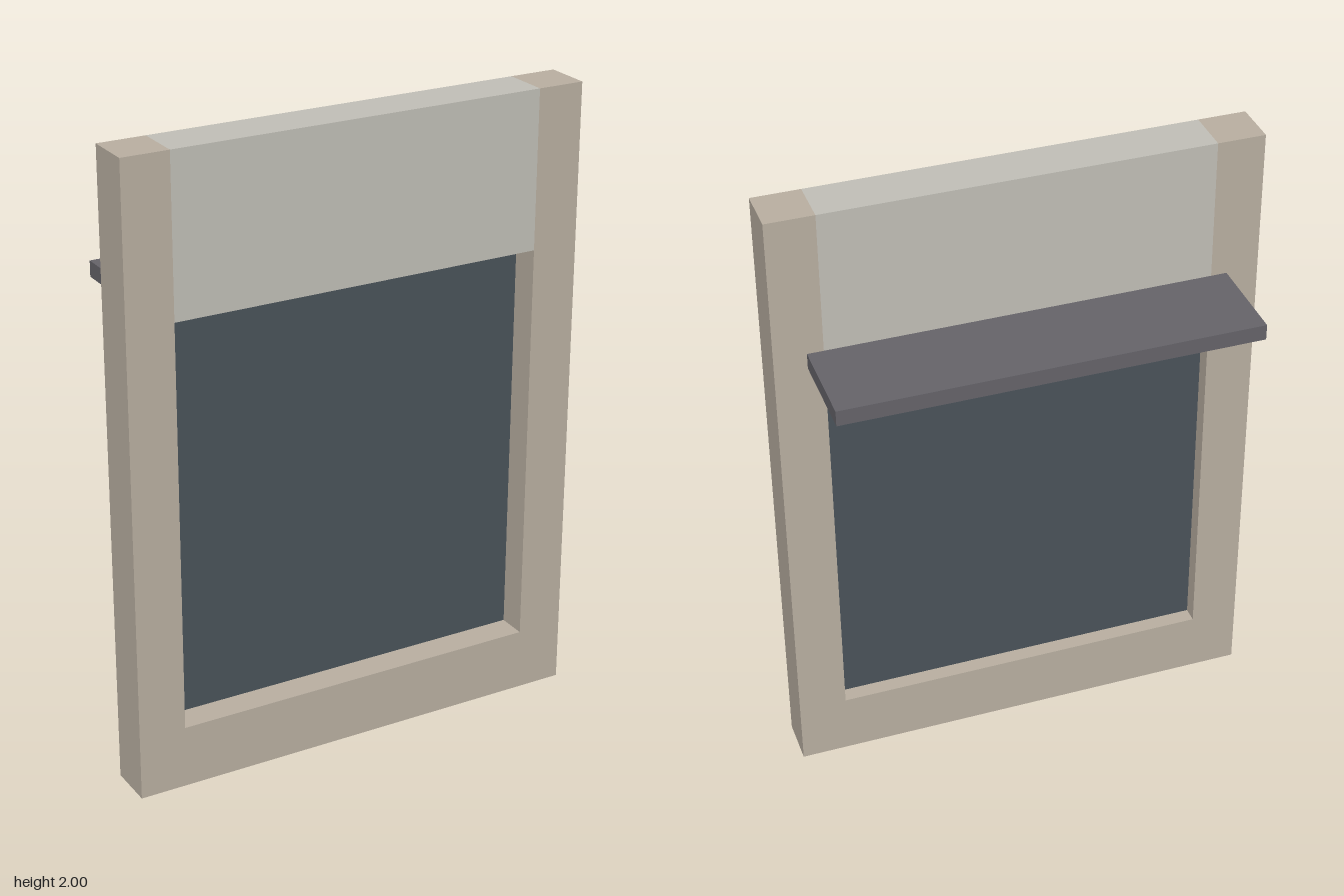
import * as THREE from 'three';

const FRAME = 0xbab0a2, HEADER = 0xc2c0b8, GLASS = 0x4a535a, LEDGE = 0x66646a;

// Box given by its lower and upper limits on each axis
function block(name, color, [x0, x1], [y0, y1], [z0, z1]) {
  const mesh = new THREE.Mesh(
    new THREE.BoxGeometry(x1 - x0, y1 - y0, z1 - z0),
    new THREE.MeshStandardMaterial({ color })
  );
  mesh.position.set((x0 + x1) / 2, (y0 + y1) / 2, (z0 + z1) / 2);
  mesh.name = name;
  return mesh;
}

export function createModel() {
  const model = new THREE.Group();
  model.name = 'windowWall';
  const depth = [0.075, 0.225];

  // Wall surround: two full-height sides, a sill and a header
  model.add(
    block('leftJamb', FRAME, [0.6, 0.75], [0, 2], depth),
    block('rightJamb', FRAME, [-0.75, -0.6], [0, 2], depth),
    block('sill', FRAME, [-0.6, 0.6], [0, 0.2], depth),
    block('header', HEADER, [-0.6, 0.6], [1.5, 2], depth)
  );

  // Thin pane recessed in the opening
  model.add(block('pane', GLASS, [-0.6, 0.6], [0.2, 1.5], [0.125, 0.131]));

  // Shading ledge projecting from the back, above the opening
  model.add(block('shadeLedge', LEDGE, [-0.65, 0.65], [1.5, 1.55], [-0.225, 0.075]));

  return model;
}
